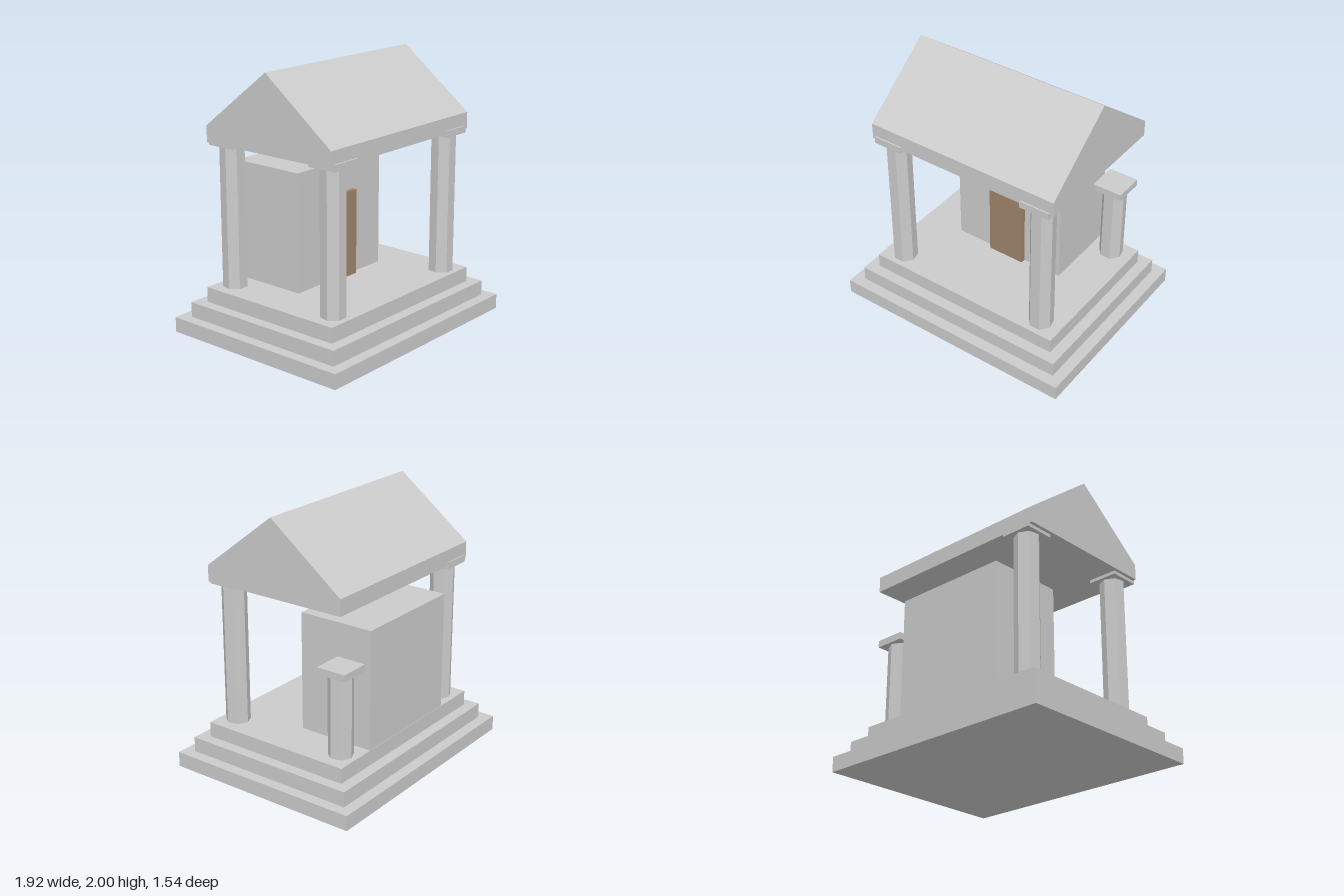
import * as THREE from 'three';

const stone = new THREE.MeshStandardMaterial({ color: 0xcccccc, flatShading: true });
const wood = new THREE.MeshStandardMaterial({ color: 0x9e8569, flatShading: true });

// Box given by its base height, so parts stack easily
function block(name, [w, h, d], [x, y, z], material = stone) {
  const mesh = new THREE.Mesh(new THREE.BoxGeometry(w, h, d), material);
  mesh.position.set(x, y + h / 2, z);
  mesh.name = name;
  return mesh;
}

const FLOOR = 0.343;

// Seven-sided shaft with its flat face to the front, and a square capital
function column(name, x, z, capBase) {
  const group = new THREE.Group();
  group.name = name;
  const h = capBase - FLOOR;
  const shaft = new THREE.Mesh(
    new THREE.CylinderGeometry(0.0925, 0.0925, h, 7, 1, false, Math.PI), stone);
  shaft.position.set(x, FLOOR + h / 2, z);
  shaft.name = 'shaft';
  group.add(shaft, block('capital', [0.232, 0.052, 0.232], [x, capBase, z]));
  return group;
}

export function createModel() {
  const model = new THREE.Group();
  model.name = 'temple';

  // Stepped base
  const step = FLOOR / 3;
  for (let i = 0; i < 3; i++) {
    model.add(block(`step${i + 1}`,
      [1.92 - i * 0.167, step, 1.54 - i * 0.17], [0, i * step, 0]));
  }

  // Inner chamber and its door
  model.add(block('chamber', [0.917, 1.24 - FLOOR, 0.597], [0, FLOOR, -0.2985]));
  model.add(block('door', [0.295, 1.0 - FLOOR, 0.06], [-0.002, FLOOR, 0.007], wood));

  // Four columns; the rear one on the left is short and does not reach the roof
  for (const x of [-0.629, 0.625]) {
    for (const z of [0.473, -0.47]) {
      const short = x > 0 && z < 0;
      const name = (z > 0 ? 'front' : 'rear') + (x > 0 ? 'Left' : 'Right') + 'Column';
      model.add(column(name, x, z, short ? 0.96 : 1.408));
    }
  }

  // Gabled roof, extruded along x
  const gable = new THREE.Shape([
    [-0.577, 1.433], [0.577, 1.433], [0.577, 1.555], [0, 2], [-0.577, 1.555],
  ].map(([z, y]) => new THREE.Vector2(z, y)));
  const length = 1.544;
  const roofGeometry = new THREE.ExtrudeGeometry(gable, { depth: length, bevelEnabled: false });
  roofGeometry.translate(0, 0, -length / 2).rotateY(Math.PI / 2);
  const roof = new THREE.Mesh(roofGeometry, stone);
  roof.name = 'roof';
  model.add(roof);

  return model;
}
